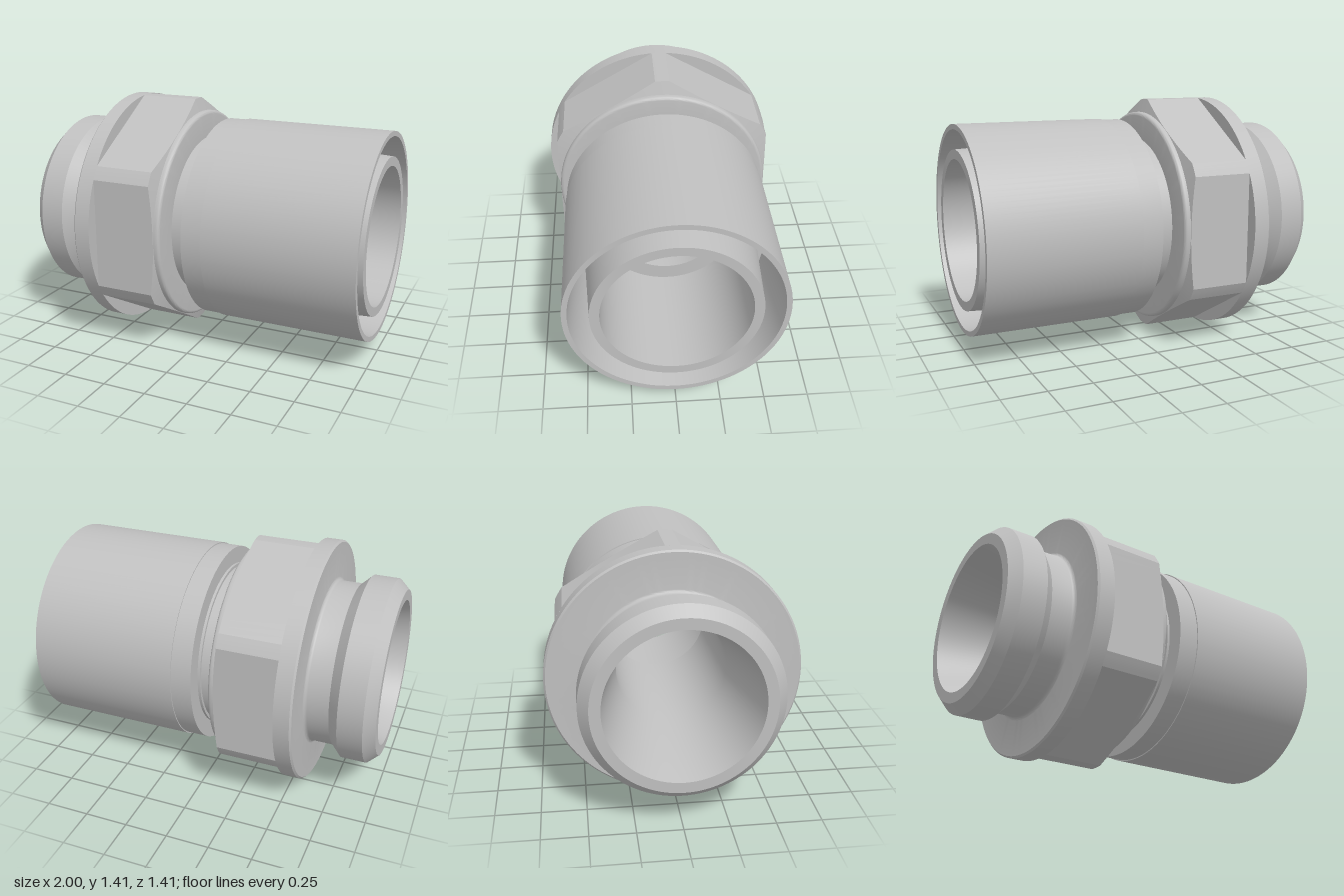
import * as THREE from 'three';
import { toCreasedNormals } from 'three/addons/utils/BufferGeometryUtils.js';

const AXIS_Y = 0.705;
const FLANGE_R = 0.705;
const FLAT_R = 0.63;

const steel = new THREE.MeshStandardMaterial({ color: 0xc0c0c0 });
steel.name = 'steel';

// Turned part along x; profile points are [x, radius]
function turned(name, profile) {
  const points = profile.map(([x, r]) => new THREE.Vector2(r, x));
  const geometry = new THREE.LatheGeometry(points, 120);
  geometry.rotateZ(-Math.PI / 2);
  const mesh = new THREE.Mesh(toCreasedNormals(geometry, 0.35), steel);
  mesh.name = name;
  return mesh;
}

// Quarter-round points between two directions, for fillets and rounded edges
function arc(cx, cr, radius, from, to, steps = 5) {
  return Array.from({ length: steps + 1 }, (_, i) => {
    const a = from + ((to - from) * i) / steps;
    return [cx + radius * Math.cos(a), cr + radius * Math.sin(a)];
  });
}

// Hexagon with corners trimmed by a cylinder and its right end chamfered by a cone
function hexGeometry() {
  const x0 = -0.5, coneX = -0.155, endX = -0.13, endR = 0.615;
  const trim = Math.acos(FLAT_R / FLANGE_R);
  const angles = [];
  for (let side = 0; side < 6; side++) {
    const mid = (side * Math.PI) / 3;
    for (let i = 0; i < 16; i++) angles.push(mid - trim + (2 * trim * i) / 16);
    for (let i = 0; i < 3; i++) angles.push(mid + trim + ((Math.PI / 3 - 2 * trim) * i) / 3);
  }
  const positions = [], indices = [];
  const n = angles.length;
  angles.forEach((a, i) => {
    const side = Math.round(a / (Math.PI / 3)) * (Math.PI / 3);
    const r = Math.min(FLANGE_R, FLAT_R / Math.cos(a - side));
    const xs = coneX + ((FLANGE_R - r) / (FLANGE_R - endR)) * (endX - coneX);
    for (const [x, q] of [[x0, r], [xs, r], [endX, endR]]) {
      positions.push(x, q * Math.sin(a), q * Math.cos(a));
    }
    const j = (i + 1) % n;
    for (let k = 0; k < 2; k++) {
      const p = i * 3 + k, s = j * 3 + k;
      indices.push(p, p + 1, s + 1, p, s + 1, s);
    }
  });
  const geometry = new THREE.BufferGeometry();
  geometry.setAttribute('position', new THREE.Float32BufferAttribute(positions, 3));
  geometry.setIndex(indices);
  return toCreasedNormals(geometry, 0.12);
}

export function createModel() {
  const model = new THREE.Group();
  model.name = 'pipeFitting';

  const fitting = new THREE.Group();
  fitting.name = 'fitting';
  fitting.position.y = AXIS_Y;
  model.add(fitting);

  // Main body: spigot, flange, collar, neck, inner tube and through bore
  fitting.add(turned('body', [
    [-1, 0.48], [-0.94, 0.535], [-0.8, 0.535], [-0.74, 0.475],
    ...arc(-0.62, 0.495, 0.02, -Math.PI / 2, 0),
    [-0.6, 0.695], [-0.59, FLANGE_R], [-0.5, FLANGE_R], [-0.5, 0.6], [-0.14, 0.6],
    [-0.14, 0.628],
    ...arc(-0.12, 0.608, 0.02, Math.PI / 2, 0),
    [-0.1, 0.473], [0, 0.473], [0, 0.49], [0.1, 0.49], [0.5, 0.48],
    [1, 0.453], [1, 0.4], [0.3, 0.4], [0.3, 0.31], [-0.48, 0.31], [-1, 0.42], [-1, 0.48],
  ]));

  // Wrench hexagon
  const hex = new THREE.Mesh(hexGeometry(), steel);
  hex.name = 'hexagon';
  fitting.add(hex);

  // Outer sleeve with a tapering gap around the inner tube
  fitting.add(turned('sleeve', [
    [0.015, 0.47], [0.015, 0.588], [0.135, 0.588], [0.135, 0.594],
    [1, 0.594], [1, 0.565], [0.5, 0.525], [0.5, 0.47],
  ]));

  return model;
}
